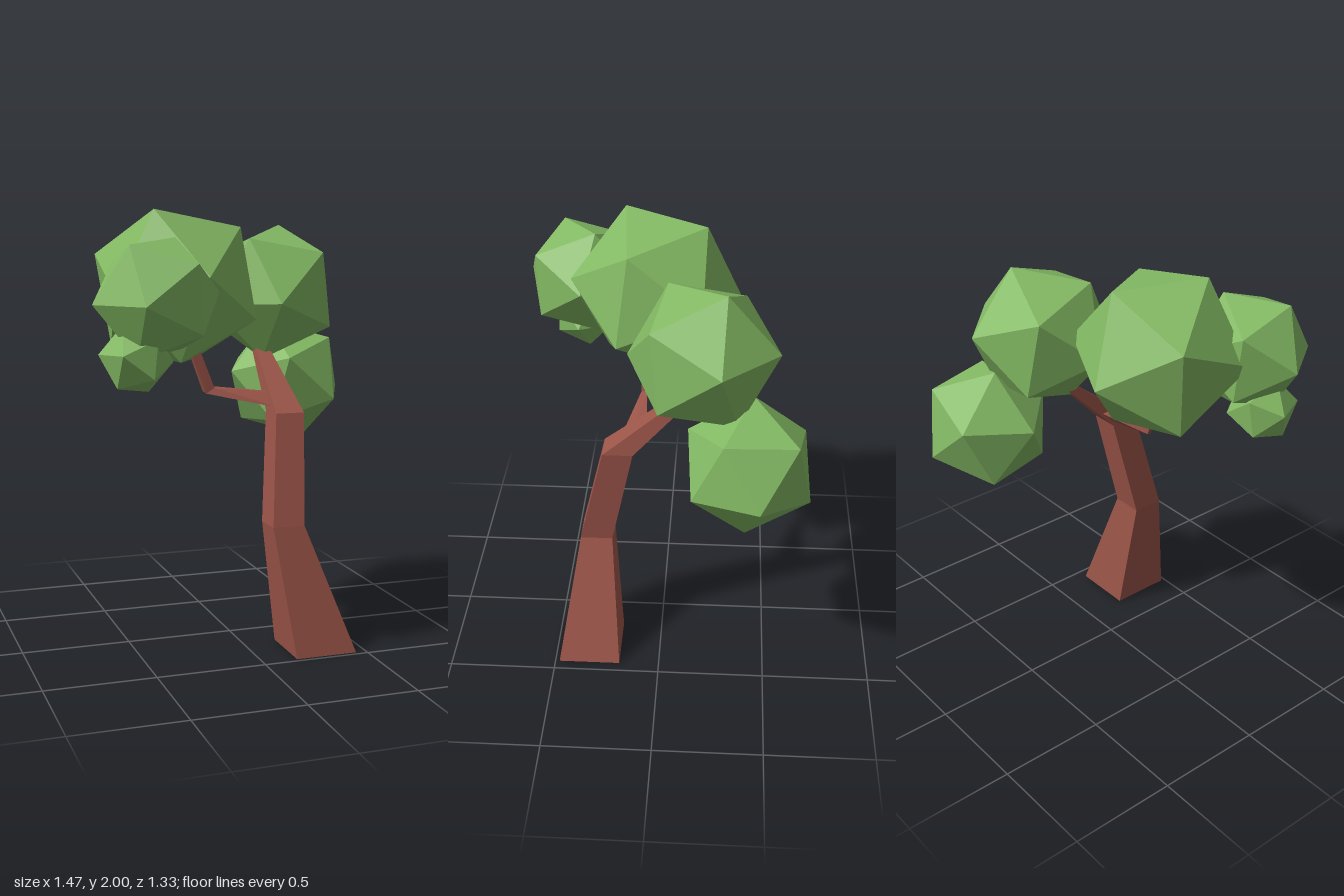
import * as THREE from 'three';

const bark = new THREE.MeshStandardMaterial({ color: 0x9c5549, flatShading: true });
const leaf = new THREE.MeshStandardMaterial({ color: 0x83b963, flatShading: true });
const vec = (p) => new THREE.Vector3(...p);

// Skin a row of four-cornered sections, closed at both ends
function loft(name, sections) {
  const pos = [];
  const quad = (a, b, c, d) => [a, b, c, a, c, d].forEach((p) => pos.push(...p));
  for (let s = 0; s < sections.length - 1; s++) {
    const lo = sections[s], hi = sections[s + 1];
    for (let i = 0; i < 4; i++) {
      const j = (i + 1) % 4;
      quad(lo[i], lo[j], hi[j], hi[i]);
    }
  }
  quad(...[...sections[0]].reverse());
  quad(...sections[sections.length - 1]);
  const geo = new THREE.BufferGeometry();
  geo.setAttribute('position', new THREE.Float32BufferAttribute(pos, 3));
  geo.computeVertexNormals();
  const mesh = new THREE.Mesh(geo, bark);
  mesh.name = name;
  return mesh;
}

// Level rectangular section of the trunk
const level = (y, x0, x1, z0, z1) => [[x0, y, z1], [x1, y, z1], [x1, y, z0], [x0, y, z0]];

// Orthonormal frame from a direction and a second direction beside it
function frame(a, b) {
  const x = a.clone().normalize();
  const z = x.clone().cross(b).normalize();
  return new THREE.Matrix4().makeBasis(x, z.clone().cross(x), z);
}

// Icosahedral leaf clump, turned so that two neighbouring corners point at a and b
function clump(name, centre, a, b) {
  const c = vec(centre);
  const da = vec(a).sub(c), db = vec(b).sub(c);
  const radius = (da.length() + db.length()) / 2;
  const t = (1 + Math.sqrt(5)) / 2;
  const own = frame(vec([-1, t, 0]), vec([1, t, 0]));
  const geo = new THREE.IcosahedronGeometry(radius, 0);
  geo.applyMatrix4(frame(da, db).multiply(own.transpose()));
  const mesh = new THREE.Mesh(geo, leaf);
  mesh.position.copy(c);
  mesh.name = name;
  return mesh;
}

export function createModel() {
  const tree = new THREE.Group();
  tree.name = 'tree';

  // Bent, tapering trunk
  tree.add(loft('trunk', [
    level(0, 0.16, 0.45, 0.19, 0.48),
    level(0.59, 0.08, 0.23, 0.23, 0.38),
    level(1.09, 0.135, 0.27, 0.125, 0.262),
    level(1.37, 0.157, 0.222, -0.145, -0.09),
  ]));

  // Thin side branch that turns upward
  tree.add(loft('branch', [
    [[0.2, 1.1, 0.13], [0.2, 1.1, 0.2], [0.2, 1.165, 0.13], [0.2, 1.165, 0.065]],
    [[-0.16, 1.185, 0.085], [-0.15, 1.175, 0.112], [-0.11, 1.2, 0.11], [-0.115, 1.205, 0.083]],
    [[-0.23, 1.38, 0.085], [-0.23, 1.38, 0.108], [-0.18, 1.38, 0.108], [-0.18, 1.38, 0.085]],
  ]));

  // Leaf clumps
  tree.add(
    clump('largeLeafClump', [-0.275, 1.66, 0.045], [-0.41, 2.0, 0.19], [0, 1.93, 0.16]),
    clump('frontLeafClump', [-0.46, 1.63, 0.405], [-0.574, 1.608, 0.663], [-0.336, 1.778, 0.61]),
    clump('topLeafClump', [0.27, 1.62, -0.184], [0.204, 1.577, 0.146], [0.455, 1.81, 0.03]),
    clump('backLeafClump', [0.428, 1.167, -0.395], [0.729, 1.116, -0.442], [0.521, 0.873, -0.384]),
    clump('smallLeafClump', [-0.555, 1.38, 0.412], [-0.495, 1.23, 0.389], [-0.4, 1.38, 0.437]),
  );
  return tree;
}
